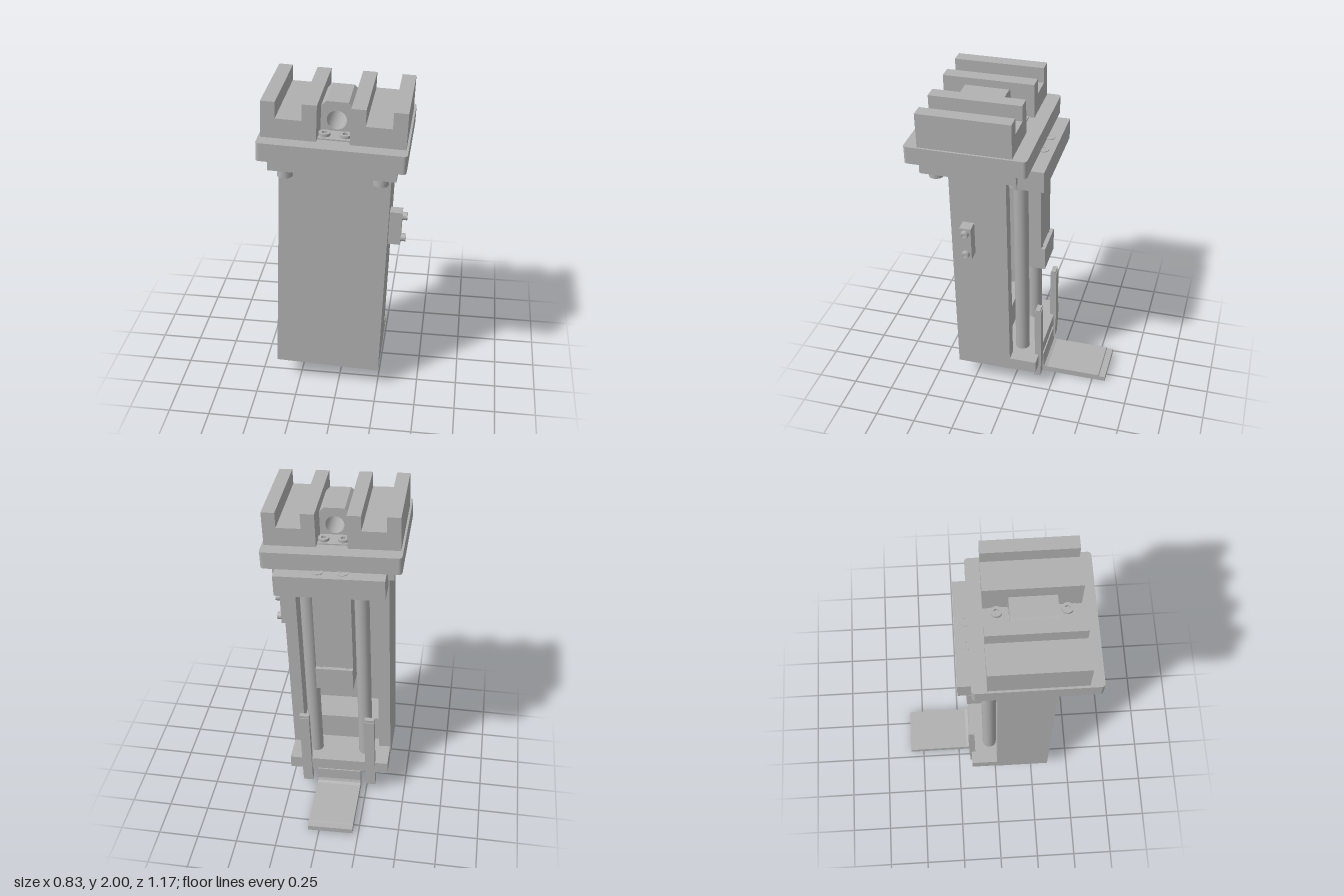
import * as THREE from 'three';

export function createModel() {
  const model = new THREE.Group();
  const tilted = new THREE.Group(); // the whole device leans slightly
  tilted.name = 'tiltedAssembly';
  tilted.rotation.z = -0.04;
  model.add(tilted);

  const grey = new THREE.MeshStandardMaterial({ color: 0xb0b0b0 });
  grey.name = 'machinedGrey';
  const C = -0.072; // symmetry line of the device

  const add = (name, geometry) => {
    const mesh = new THREE.Mesh(geometry, grey);
    mesh.name = name;
    tilted.add(mesh);
    return mesh;
  };
  // Box given by its limits; x is measured from the symmetry line
  const box = (name, x0, x1, y0, y1, z0, z1) => {
    const mesh = add(name, new THREE.BoxGeometry(x1 - x0, y1 - y0, z1 - z0));
    mesh.position.set(C + (x0 + x1) / 2, (y0 + y1) / 2, (z0 + z1) / 2);
    return mesh;
  };
  const circle = (Type, x, y, r) => new Type().absarc(x, y, r, 0, Math.PI * 2, Type === THREE.Path);
  const polygon = (points) => new THREE.Shape(points.map(([x, y]) => new THREE.Vector2(x, y)));
  const extrude = (shape, depth) =>
    new THREE.ExtrudeGeometry(shape, { depth, bevelEnabled: false, curveSegments: 20 });

  // Cap screw with a hexagonal socket; its head points along +y before turning
  const screw = (name, x, y, z, r, h, axis = 'up') => {
    const head = circle(THREE.Shape, 0, 0, r);
    const hex = new THREE.Path();
    for (let i = 0; i < 6; i++) {
      const a = -i * Math.PI / 3;
      hex[i ? 'lineTo' : 'moveTo'](Math.cos(a) * r * 0.5, Math.sin(a) * r * 0.5);
    }
    hex.closePath();
    head.holes.push(hex);
    const group = new THREE.Group();
    group.name = name;
    const ring = new THREE.Mesh(extrude(head, h).rotateX(-Math.PI / 2), grey);
    const floor = new THREE.Mesh(new THREE.CylinderGeometry(r * 0.6, r * 0.6, h * 0.4, 12), grey);
    ring.name = 'screwHead';
    floor.name = 'socketFloor';
    floor.position.y = h * 0.2;
    group.add(ring, floor);
    group.position.set(C + x, y, z);
    if (axis === 'down') group.rotation.x = Math.PI;
    if (axis === 'side') group.rotation.z = -Math.PI / 2;
    tilted.add(group);
  };

  // Channel body, open at the back
  const W = 0.323;
  const channel = polygon([
    [-W, -0.355], [W, -0.355], [W, -0.01], [W - 0.075, -0.01],
    [W - 0.075, -0.29], [-W + 0.075, -0.29], [-W + 0.075, -0.01], [-W, -0.01],
  ]);
  const body = add('channelBody', extrude(channel, 1.437).rotateX(-Math.PI / 2));
  body.position.set(C, 0.14, 0);
  box('basePlate', -W + 0.002, W - 0.002, 0.141, 0.225, -0.16, 0.35);
  box('innerBlock', -W + 0.07, W - 0.07, 0.22, 0.4, 0.08, 0.3);

  // Guide rods and their screws
  for (const s of [-1, 1]) {
    const rod = add('guideRod', new THREE.CylinderGeometry(0.045, 0.045, 1.36, 32));
    rod.position.set(C + s * 0.165, 0.9, -0.035);
    screw('rodScrew', s * 0.165, 0.14, -0.035, 0.037, 0.04, 'down');
    for (const z of [0.14, 0.27]) screw('baseScrew', s * 0.165, 0.14, z, 0.032, 0.003, 'down');
  }

  // Head plates
  box('lowerHeadPlate', -0.36, 0.36, 1.577, 1.665, -0.06, 0.515);
  box('rearHeadPlate', -0.325, 0.325, 1.533, 1.665, -0.215, -0.06);
  const hw = 0.413, z0 = -0.585, z1 = 0.137, r = 0.022;
  const plate = new THREE.Shape();
  plate.moveTo(-hw + r, z0);
  plate.lineTo(hw - r, z0);
  plate.absarc(hw - r, z0 + r, r, -Math.PI / 2, 0);
  plate.absarc(hw - r, z1 - r, r, 0, Math.PI / 2);
  plate.absarc(-hw + r, z1 - r, r, Math.PI / 2, Math.PI);
  plate.absarc(-hw + r, z0 + r, r, Math.PI, Math.PI * 1.5);
  add('upperHeadPlate', extrude(plate, 0.107).rotateX(-Math.PI / 2)).position.set(C, 1.665, 0);
  for (const s of [-1, 1]) {
    for (const z of [-0.038, 0.445]) screw('headPlateScrew', s * 0.271, 1.577, z, 0.045, 0.055, 'down');
    for (const z of [0.025, 0.42]) screw('blockScrew', s * 0.058, 1.772, z, 0.033, 0.025);
    screw('rearPlateScrew', s * 0.073, 1.665, -0.148, 0.034, 0.004);
  }

  // Slotted jaws on the top
  for (const s of [-1, 1]) {
    const points = [[0.092, 1.77], [0.4, 1.77], [0.4, 1.984], [0.32, 1.984],
      [0.32, 1.888], [0.174, 1.888], [0.174, 1.984], [0.092, 1.984]];
    const jaw = add('slottedJaw', extrude(polygon(points.map(([x, y]) => [s * x, y])), 0.555));
    jaw.position.set(C, 0, -0.052);
  }

  // Bored block between the jaws
  const bored = polygon([[-0.09, 1.77], [0.09, 1.77], [0.09, 1.925], [0.062, 1.953],
    [-0.062, 1.953], [-0.09, 1.925]]);
  bored.holes.push(circle(THREE.Path, 0, 1.845, 0.056));
  add('boredBlock', extrude(bored, 0.267)).position.set(C, 0, 0.09);
  box('blockFlange', -0.09, 0.09, 1.77, 1.78, -0.02, 0.47);

  // Hanging slide with a drilled nut at its lower end
  box('slideBar', -0.115, 0.115, 0.97, 1.535, -0.145, 0.03);
  const nut = polygon([[-0.115, -0.03], [0.115, -0.03], [0.115, 0.17], [-0.115, 0.17]]);
  nut.holes.push(circle(THREE.Path, 0, 0.07, 0.042));
  for (const x of [-0.08, 0.08]) for (const z of [0.0, 0.14]) nut.holes.push(circle(THREE.Path, x, z, 0.013));
  add('slideNut', extrude(nut, 0.15).rotateX(-Math.PI / 2)).position.set(C, 0.832, 0);

  // Side clip with two screws
  box('sideClip', W, W + 0.073, 1.04, 1.255, 0.21, 0.28);
  for (const y of [1.075, 1.22]) screw('clipScrew', W + 0.073, y, 0.245, 0.024, 0.03, 'side');

  // Bent foot, drawn in profile and extruded across its width
  const foot = polygon([[0.13, 0.003], [0.585, 0.003], [0.585, 0.036], [0.545, 0.036],
    [0.54, 0.043], [0.195, 0.043], [0.175, 0.05], [0.168, 0.068], [0.168, 0.145], [0.13, 0.145]]);
  add('bentFoot', extrude(foot, 0.285).rotateY(Math.PI / 2)).position.set(C - 0.143, 0, 0);

  // Upright fingers beside the foot
  for (const s of [-1, 1]) {
    const x = s * 0.209;
    box('finger', x - 0.031, x + 0.031, 0.13, 0.575, -0.175, -0.135);
    box('fingerTip', x - 0.031, x + 0.031, 0.575, 0.592, -0.17, -0.14);
    box('fingerRoot', x - 0.031, x + 0.031, 0.045, 0.13, -0.172, -0.13);
  }
  return model;
}
